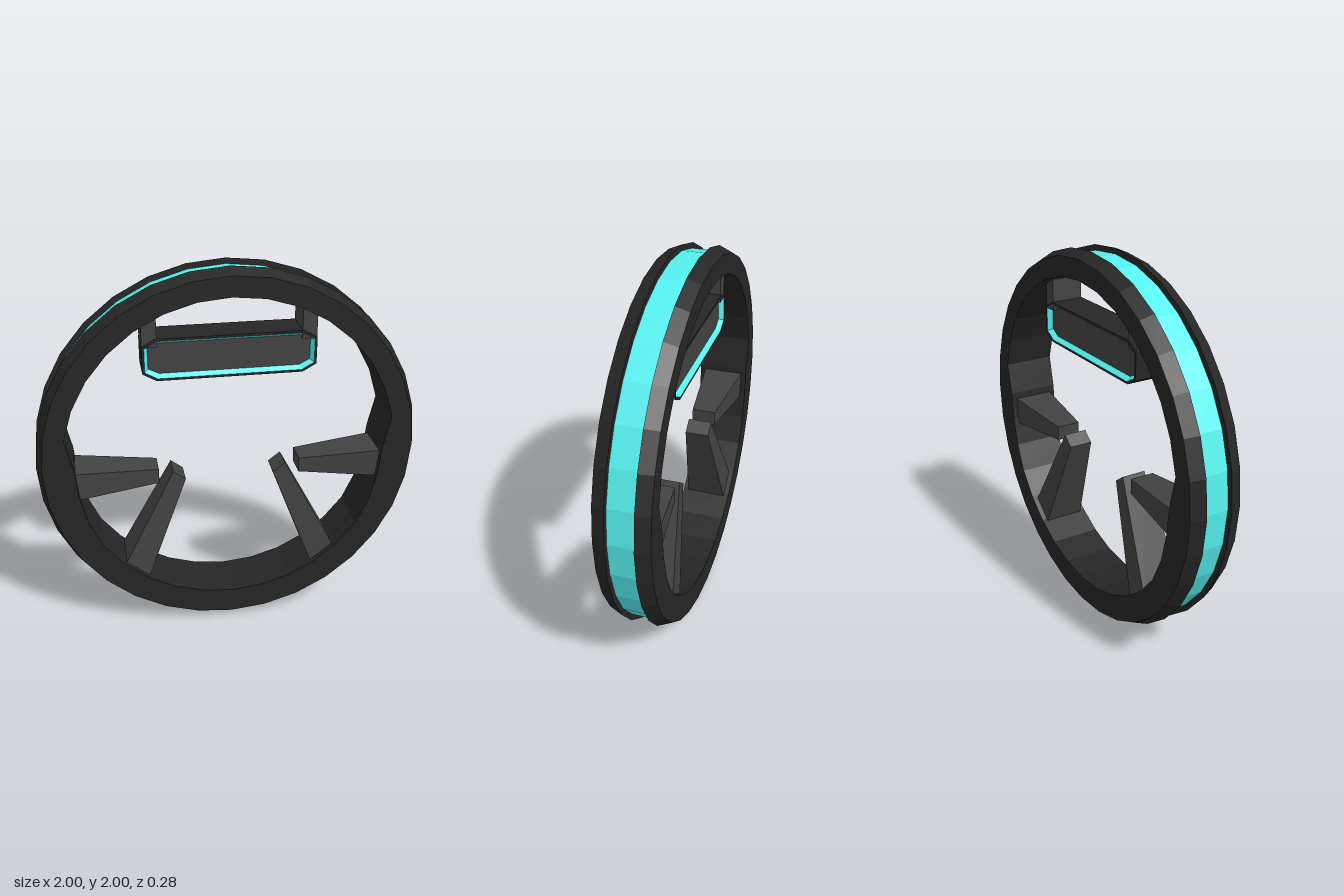
import * as THREE from 'three';

const DARK = new THREE.MeshStandardMaterial({ color: 0x262626, flatShading: true });
const GREY = new THREE.MeshStandardMaterial({ color: 0x424242, flatShading: true });
const CYAN = new THREE.MeshStandardMaterial({ color: 0x55f0ee, flatShading: true });

// Skins a row of cross-sections (each counter-clockwise about the travel direction).
function loft(sections, { closed = false, caps = false } = {}) {
  const out = [];
  const tri = (...pts) => pts.forEach((p) => out.push(...p));
  const n = sections[0].length;
  const count = closed ? sections.length : sections.length - 1;
  for (let i = 0; i < count; i++) {
    const A = sections[i], B = sections[(i + 1) % sections.length];
    for (let j = 0; j < n; j++) {
      const k = (j + 1) % n;
      tri(A[j], A[k], B[k]);
      tri(A[j], B[k], B[j]);
    }
  }
  if (caps) {
    const first = sections[0], last = sections[sections.length - 1];
    for (let j = 1; j < n - 1; j++) {
      tri(first[0], first[j + 1], first[j]);
      tri(last[0], last[j], last[j + 1]);
    }
  }
  const geo = new THREE.BufferGeometry();
  geo.setAttribute('position', new THREE.Float32BufferAttribute(out, 3));
  geo.computeVertexNormals();
  return geo;
}

// Sweeps a [radius, z] profile around the hub in 32 steps.
const STEPS = 32;
function sweep(profileAt) {
  const sections = [];
  for (let i = 0; i < STEPS; i++) {
    const a = (i / STEPS) * Math.PI * 2;
    sections.push(profileAt(i).map(([r, z]) => [r * Math.cos(a), 1 + r * Math.sin(a), z]));
  }
  return loft(sections, { closed: true });
}

// Inner radius: thinner upper arc, thicker lower arc, pads behind the side spokes.
function innerRadius(i) {
  const fromTop = Math.abs(i - 8) > 16 ? 32 - Math.abs(i - 8) : Math.abs(i - 8);
  if (fromTop <= 7) return 0.865;
  if (fromTop <= 9) return 0.81;
  return fromTop === 10 ? 0.82 : 0.83;
}

// Elongated octagon used for the display housing.
function octagon(inset, z) {
  const x = 0.44 - inset, y = 0.11 - inset;
  const cx = x - 0.07 + inset * 0.5, cy = y - 0.04 + inset * 0.4;
  return [[x, -cy], [x, cy], [cx, y], [-cx, y], [-x, cy], [-x, -cy], [-cx, -y], [cx, -y]]
    .map(([px, py]) => [px, 1.55 + py, z]);
}

// Tapered four-sided spoke between a tip edge and a root edge.
function spoke(side, tip, root) {
  const section = ([p, q], d) => {
    const pts = [[...p, d], [...q, d], [...q, -d], [...p, -d]].map(([x, y, z]) => [x * side, y, z]);
    return side < 0 ? pts.reverse() : pts;
  };
  return loft([section(tip, 0.065), section(root, 0.115)], { caps: true });
}

export function createModel() {
  const model = new THREE.Group();
  model.name = 'ringWheel';
  const add = (name, geo, mat, parent = model) => {
    const mesh = new THREE.Mesh(geo, mat);
    mesh.name = name;
    parent.add(mesh);
    return mesh;
  };

  // Rim with bevelled flanges and a glowing band in the groove
  add('rim', sweep((i) => {
    const r = innerRadius(i);
    return [[r, 0.14], [0.97, 0.14], [1, 0.07], [0.96, 0.07],
      [0.96, -0.07], [1, -0.07], [0.97, -0.14], [r, -0.14]];
  }), DARK);
  add('rimBand', sweep(() => [[0.955, 0.07], [0.97, 0.07], [0.97, -0.07], [0.955, -0.07]]), CYAN);

  // Display housing, recessed on both faces
  const display = new THREE.Group();
  display.name = 'display';
  model.add(display);
  add('displayHousing', loft([octagon(0.012, -0.09), octagon(0, -0.09),
    octagon(0, 0.09), octagon(0.012, 0.09)]), DARK, display);
  add('displayFrontTrim', loft([octagon(0.012, 0.09), octagon(0.03, 0.065)]), CYAN, display);
  add('displayBackTrim', loft([octagon(0.03, -0.065), octagon(0.012, -0.09)]), CYAN, display);
  add('displayScreen', loft([octagon(0.03, -0.065), octagon(0.03, 0.065)], { caps: true }), GREY, display);

  // Mirrored hangers and spokes
  for (const [side, label] of [[1, 'left'], [-1, 'right']]) {
    const hanger = add(label + 'Hanger', new THREE.BoxGeometry(0.075, 0.235, 0.17), GREY);
    hanger.position.set(side * 0.4015, 1.7325, 0);
    add(label + 'SideSpoke', spoke(side,
      [[0.375, 0.93], [0.375, 0.85]], [[0.85, 0.965], [0.85, 0.805]]), GREY);
    add(label + 'LowerSpoke', spoke(side,
      [[0.3, 0.91], [0.235, 0.86]], [[0.592, 0.36], [0.467, 0.255]]), GREY);
  }
  return model;
}
